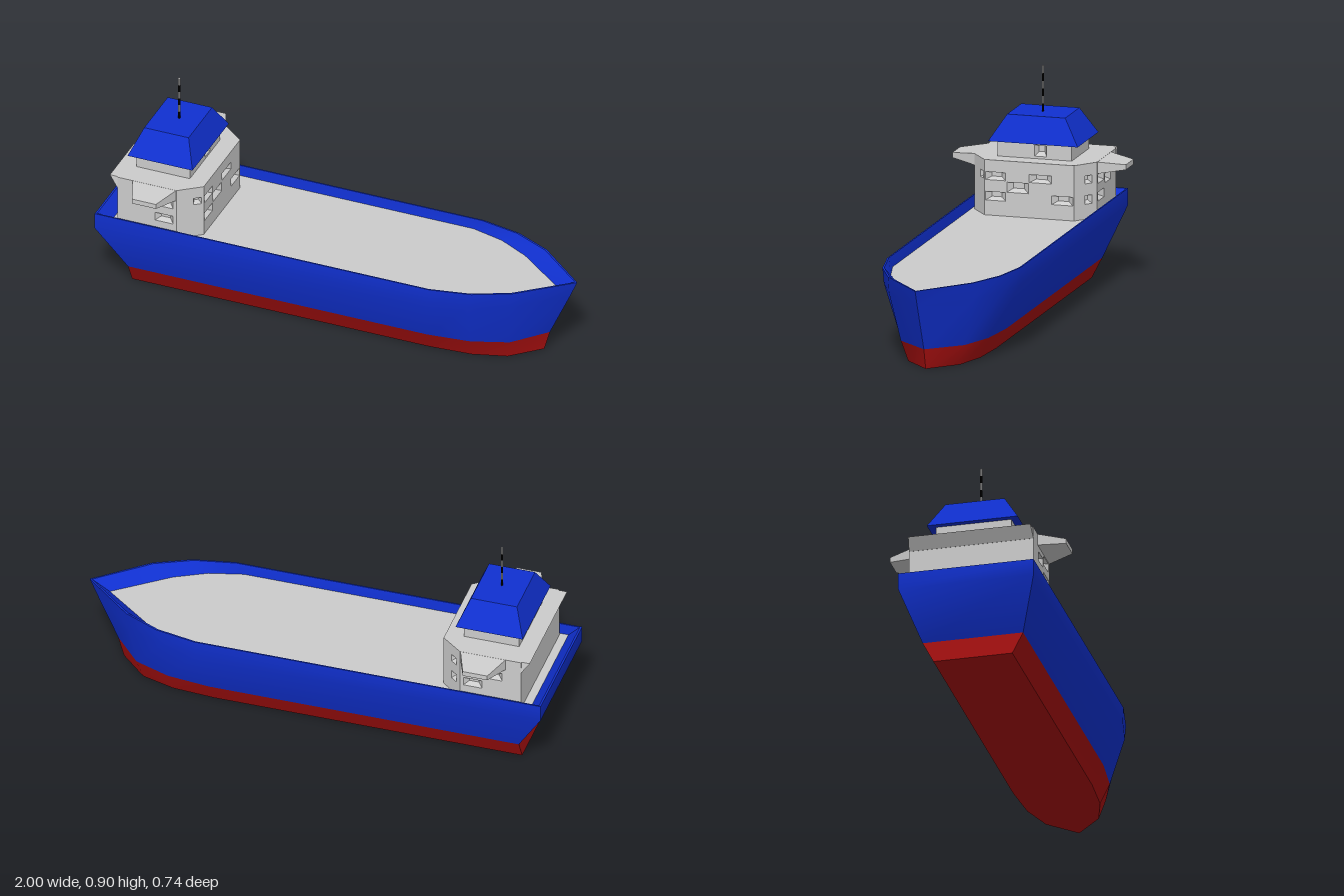
import * as THREE from 'three';
import { toCreasedNormals } from 'three/addons/utils/BufferGeometryUtils.js';

const paint = (color, flatShading = true) =>
  new THREE.MeshStandardMaterial({ color, flatShading, side: THREE.DoubleSide });
const grey = paint(0xcccccc);
const blue = paint(0x1030d0);
const hullBlue = paint(0x1030d0, false);
const hullRed = paint(0xab1010, false);
const black = paint(0x050505);

function fromTriangles(points) {
  const g = new THREE.BufferGeometry();
  g.setAttribute('position', new THREE.Float32BufferAttribute(points.flat(), 3));
  g.computeVertexNormals();
  return g;
}

const quad = (a, b, c, d) => [a, b, c, a, c, d];

// Skins closed rings (counter-clockwise seen from the last ring) with optional convex caps.
function loft(rings, capStart = false, capEnd = false) {
  const tris = [];
  const n = rings[0].length;
  for (let r = 0; r < rings.length - 1; r++) {
    for (let i = 0; i < n; i++) {
      const j = (i + 1) % n;
      tris.push(...quad(rings[r][i], rings[r][j], rings[r + 1][j], rings[r + 1][i]));
    }
  }
  const cap = (ring, flip) => {
    const mid = [0, 1, 2].map(k => ring.reduce((s, p) => s + p[k], 0) / n);
    ring.forEach((p, i) => {
      const q = ring[(i + 1) % n];
      tris.push(...(flip ? [mid, q, p] : [mid, p, q]));
    });
  };
  if (capStart) cap(rings[0], true);
  if (capEnd) cap(rings[rings.length - 1], false);
  return fromTriangles(tris);
}

function add(parent, name, geometry, material) {
  const mesh = new THREE.Mesh(geometry, material);
  mesh.name = name;
  parent.add(mesh);
  return mesh;
}

// Waterline ring: half outline from stern to bow tip, mirrored across z.
function waterline(y, half) {
  const port = half.map(([x, z]) => [x, y, z]);
  const starboard = half.slice(0, -1).reverse().map(([x, z]) => [x, y, -z]);
  return [...port, ...starboard];
}

const rect = (y, x0, x1, hz) => [[x0, y, hz], [x1, y, hz], [x1, y, -hz], [x0, y, -hz]];

// Vertical wall between plan points a and b, with bevelled window recesses [u0, u1, y0, y1].
function wall(name, a, b, y0, y1, windows = []) {
  const group = new THREE.Group();
  group.name = name;
  const dx = b[0] - a[0], dz = b[1] - a[1];
  const length = Math.hypot(dx, dz);
  const shape = new THREE.Shape();
  shape.moveTo(0, y0).lineTo(length, y0).lineTo(length, y1).lineTo(0, y1).closePath();
  const recess = [];
  for (const [u0, u1, v0, v1] of windows) {
    const hole = new THREE.Path();
    hole.moveTo(u0, v0).lineTo(u0, v1).lineTo(u1, v1).lineTo(u1, v0).closePath();
    shape.holes.push(hole);
    const s = (u1 - u0) * 0.25, t = (v1 - v0) * 0.35, d = -0.02;
    const front = [[u0, v0, 0], [u1, v0, 0], [u1, v1, 0], [u0, v1, 0]];
    const back = [[u0 + s, v0 + t, d], [u1 - s, v0 + t, d], [u1 - s, v1 - 0.003, d], [u0 + s, v1 - 0.003, d]];
    for (let i = 0; i < 4; i++) {
      const j = (i + 1) % 4;
      recess.push(...quad(front[i], front[j], back[j], back[i]));
    }
    recess.push(...quad(...back));
  }
  add(group, name + 'Panel', new THREE.ShapeGeometry(shape), grey);
  if (recess.length) add(group, name + 'Windows', fromTriangles(recess), grey);
  group.position.set(a[0], 0, a[1]);
  group.rotation.y = Math.atan2(-dz, dx);
  return group;
}

// Walls around a plan; windows are listed by wall index.
function walls(parent, name, plan, y0, y1, windows) {
  plan.forEach((p, i) =>
    parent.add(wall(name + 'Wall' + i, p, plan[(i + 1) % plan.length], y0, y1, windows[i])));
  add(parent, name + 'Top', loft([plan.map(([x, z]) => [x, y1, z])], false, true), grey);
}

function buildHull() {
  const hull = new THREE.Group();
  hull.name = 'hull';
  const keel = waterline(0, [[-0.885, 0.165], [0.42, 0.165], [0.6, 0.152], [0.74, 0.11], [0.855, 0]]);
  const water = waterline(0.087, [[-0.885, 0.21], [0.43, 0.21], [0.61, 0.19], [0.76, 0.135], [0.88, 0]]);
  const knuckle = waterline(0.285, [[-1, 0.283], [0.46, 0.283], [0.62, 0.25], [0.775, 0.18], [0.97, 0]]);
  const rail = waterline(0.355, [[-1, 0.283], [0.47, 0.283], [0.64, 0.25], [0.79, 0.18], [1, 0]]);
  const railInner = waterline(0.355, [[-0.992, 0.277], [0.465, 0.277], [0.634, 0.244], [0.784, 0.174], [0.99, 0]]);
  const deck = waterline(0.31, [[-0.945, 0.272], [0.43, 0.272], [0.57, 0.236], [0.7, 0.168], [0.915, 0]]);
  add(hull, 'lowerHull', toCreasedNormals(loft([keel, water], true), 0.55), hullRed);
  add(hull, 'upperHull', toCreasedNormals(loft([water, knuckle, rail, railInner, deck]), 0.55), hullBlue);
  add(hull, 'deck', loft([deck], false, true), grey);
  return hull;
}

function buildHouse() {
  const house = new THREE.Group();
  house.name = 'deckhouse';

  // Main block with chamfered front corners
  const plan = [[-0.91, 0.26], [-0.65, 0.26], [-0.56, 0.19], [-0.56, -0.19], [-0.65, -0.26], [-0.91, -0.26]];
  const sideWindows = [[0.08, 0.155, 0.43, 0.468], [0.165, 0.245, 0.375, 0.412], [0.165, 0.245, 0.448, 0.485]];
  walls(house, 'house', plan, 0.31, 0.54, {
    0: sideWindows,
    1: [[0.07, 0.105, 0.46, 0.49]],
    2: [[0.005, 0.09, 0.457, 0.49], [0.19, 0.285, 0.457, 0.49], [0.095, 0.187, 0.41, 0.452],
      [0.005, 0.09, 0.372, 0.408], [0.285, 0.375, 0.372, 0.408]],
    3: [[0.055, 0.09, 0.457, 0.49], [0.055, 0.09, 0.372, 0.408]],
    4: sideWindows.map(([u0, u1, v0, v1]) => [0.26 - u1, 0.26 - u0, v0, v1]),
  });

  // Overhang on the aft wall
  add(house, 'aftOverhang',
    loft([rect(0.49, -0.911, -0.91, 0.26), rect(0.54, -0.945, -0.91, 0.255)], true, true), grey);

  // Tapered bridge wings
  const section = (z, hx, y0, y1) => [[-hx, y0, z], [hx, y0, z], [hx, y1, z], [-hx, y1, z]];
  for (const [name, turn] of [['leftWing', 0], ['rightWing', Math.PI]]) {
    const wing = add(house, name,
      loft([section(0.255, 0.097, 0.49, 0.54), section(0.368, 0.052, 0.505, 0.526)], true, true), grey);
    wing.position.x = -0.748;
    wing.rotation.y = turn;
  }

  // Wheelhouse and its sloped roof
  const cabin = [[-0.87, 0.157], [-0.635, 0.157], [-0.635, -0.157], [-0.87, -0.157]];
  walls(house, 'wheelhouse', cabin, 0.54, 0.607, { 1: [[0.157, 0.208, 0.55, 0.596]] });
  add(house, 'roof',
    loft([rect(0.605, -0.895, -0.61, 0.19), rect(0.712, -0.85, -0.655, 0.123)], true, true), blue);

  // Banded mast
  const band = 0.19 / 6;
  for (let i = 0; i < 6; i++) {
    const piece = add(house, 'mastBand' + i,
      new THREE.CylinderGeometry(0.005, 0.005, band, 8), i % 2 ? grey : black);
    piece.position.set(-0.748, 0.712 + band * (i + 0.5), 0);
  }
  return house;
}

export function createModel() {
  const ship = new THREE.Group();
  ship.name = 'cargoShip';
  ship.add(buildHull(), buildHouse());
  return ship;
}
